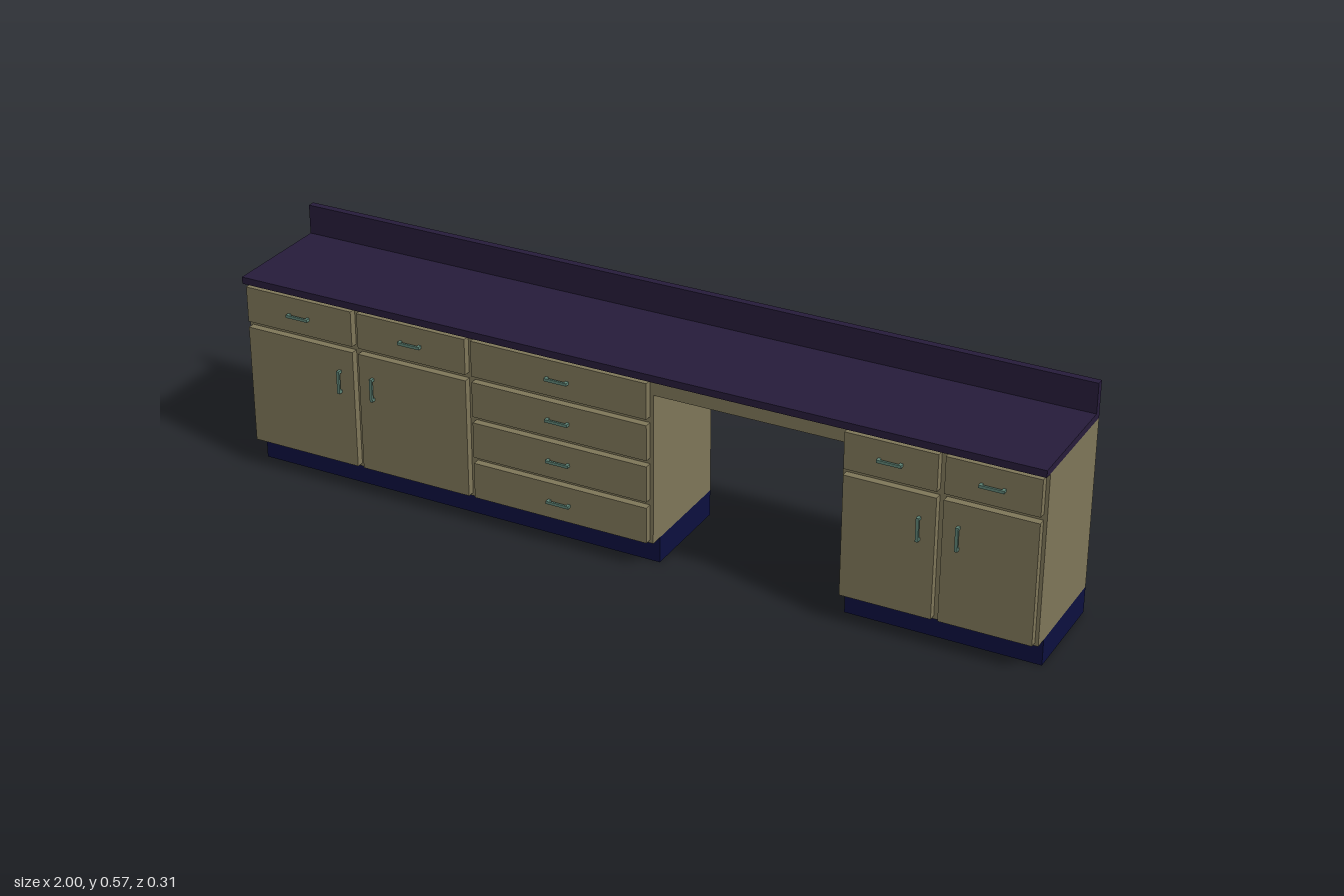
import * as THREE from 'three';

const BACK = -0.155, FACE = 0.127, KICK_FRONT = 0.095, FRONT = 0.145;
const FLOOR = 0.065, TOP = 0.483, WALL = 0.018;

const paint = (color) => new THREE.MeshStandardMaterial({ color });
const wood = paint(0x80785a);
const stone = paint(0x271c3b);
const navy = paint(0x0c103f);
const metal = paint(0x5f8577);

// Box given by its limits on each axis
function block(parent, name, material, x0, x1, y0, y1, z0, z1) {
  const mesh = new THREE.Mesh(new THREE.BoxGeometry(x1 - x0, y1 - y0, z1 - z0), material);
  mesh.position.set((x0 + x1) / 2, (y0 + y1) / 2, (z0 + z1) / 2);
  mesh.name = name;
  parent.add(mesh);
}

// Hollow rectangular ring, open above and below
function ring(parent, name, material, x0, x1, y0, y1, zFront, side) {
  const rect = (P, a, b, c, d) => {
    const p = new P();
    p.moveTo(a, c); p.lineTo(b, c); p.lineTo(b, d); p.lineTo(a, d); p.closePath();
    return p;
  };
  // Shape y is -z, so the extrusion runs up y once rotated
  const shape = rect(THREE.Shape, x0, x1, -zFront, -BACK);
  shape.holes.push(rect(THREE.Path, x0 + side, x1 - side, -(KICK_FRONT - WALL), -BACK - WALL));
  const geo = new THREE.ExtrudeGeometry(shape, { depth: y1 - y0, bevelEnabled: false });
  geo.rotateX(-Math.PI / 2).translate(0, y0, 0);
  const mesh = new THREE.Mesh(geo, material);
  mesh.name = name;
  parent.add(mesh);
}

// Bracket pull: a bar on two posts, lying along x or standing upright
function handle(parent, x, y, upright) {
  const g = new THREE.Group();
  g.name = upright ? 'doorHandle' : 'drawerHandle';
  const h = 0.029, r = 0.0035, tip = 0.0112;
  block(g, 'handleBar', metal, -h, h, -r, r, tip - 0.005, tip);
  for (const s of [-1, 1]) {
    const c = s * (h - r);
    block(g, 'handlePost', metal, c - r, c + r, -r, r, 0, tip - 0.005);
  }
  if (upright) g.rotation.z = Math.PI / 2;
  g.position.set(x, y, FRONT);
  parent.add(g);
}

function cabinet(parent, x0, x1, hinge) {
  const g = new THREE.Group();
  g.name = hinge ? 'doorCabinet' : 'drawerCabinet';
  const recess = FLOOR + 0.014, gap = 0.008, mid = (x0 + x1) / 2;
  block(g, 'carcass', wood, x0, x1, recess, TOP, BACK, FACE);
  ring(g, 'carcassSkirt', wood, x0, x1, FLOOR, recess, FACE, 0.012);

  const drawers = [[0.386, 0.475]];
  if (hinge) {
    // Door with its pull on the side away from the hinge
    block(g, 'door', wood, x0 + gap, x1 - gap, 0.073, 0.371, FACE, FRONT);
    handle(g, hinge < 0 ? x1 - 0.045 : x0 + 0.045, 0.289, true);
  } else {
    drawers.push([0.283, 0.371], [0.178, 0.268], [0.073, 0.163]);
  }
  for (const [y0, y1] of drawers) {
    block(g, 'drawerFront', wood, x0 + gap, x1 - gap, y0, y1, FACE, FRONT);
    handle(g, mid, (y0 + y1) / 2 - 0.001, false);
  }
  parent.add(g);
}

export function createModel() {
  const model = new THREE.Group();
  model.name = 'cabinetRun';

  // Worktop with upstand along the back
  block(model, 'worktop', stone, -1, 1, TOP, 0.5, BACK, 0.148);
  block(model, 'backsplash', stone, -1, 1, 0.5, 0.573, BACK, -0.137);

  // Cabinets: left edge, right edge, hinge side (0 = stack of drawers)
  const units = [
    [-1, -0.695, -1], [-0.695, -0.39, 1], [-0.39, 0.075, 0],
    [0.535, 0.7675, -1], [0.7675, 1, 1],
  ];
  for (const [x0, x1, hinge] of units) cabinet(model, x0, x1, hinge);

  // Bridge over the knee space
  block(model, 'kneeSpaceBridge', wood, 0.075, 0.535, 0.44, TOP, BACK, FACE);

  // Hollow plinths
  for (const [x0, x1] of [[-1, -0.39], [-0.39, 0.075], [0.535, 1]]) {
    ring(model, 'plinth', navy, x0, x1, 0, FLOOR, KICK_FRONT, WALL);
  }
  return model;
}
